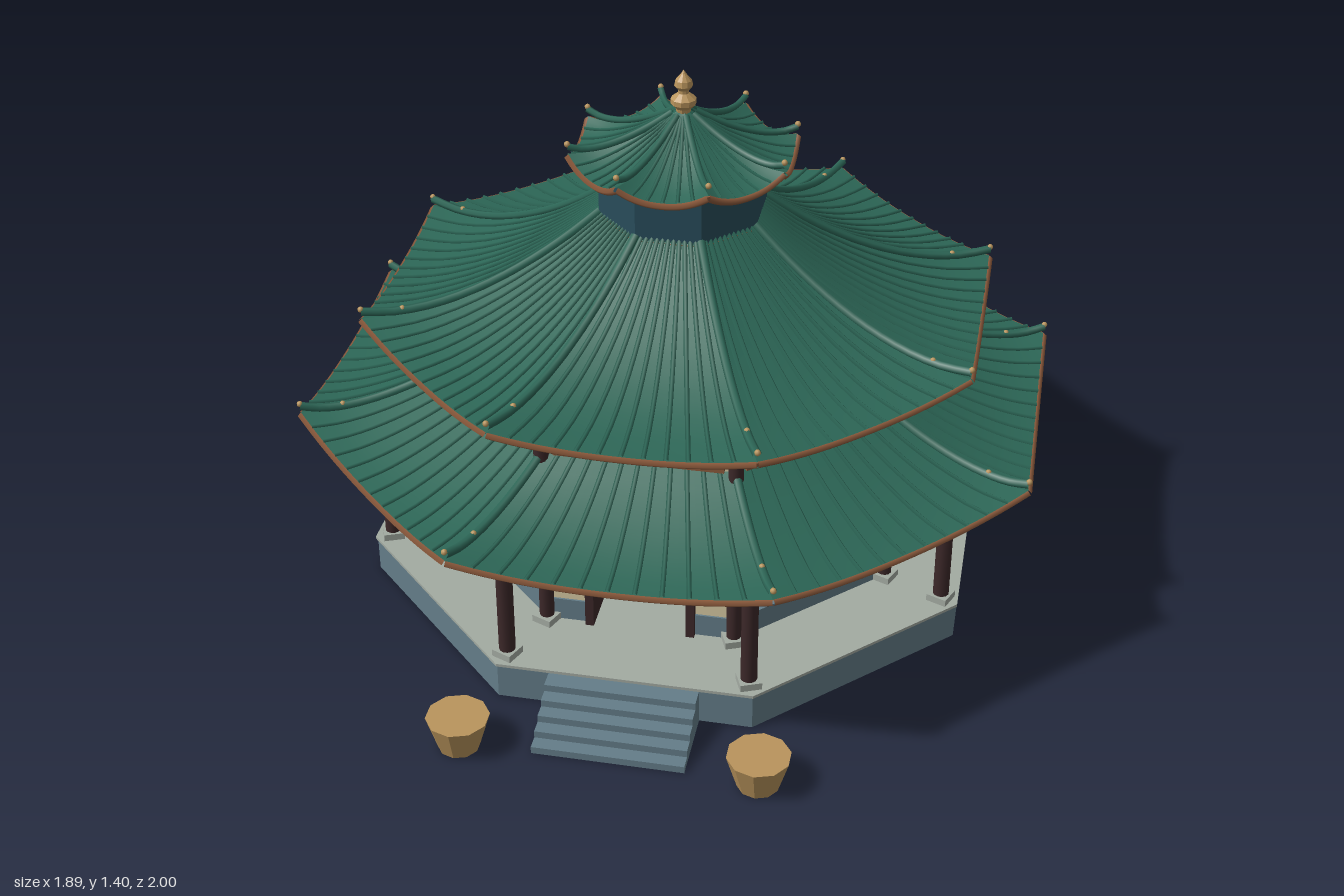
import * as THREE from 'three';

const mat = (name, color, extra = {}) => Object.assign(new THREE.MeshStandardMaterial({ color, ...extra }), { name });
const TAN = Math.tan(Math.PI / 8), COS = Math.cos(Math.PI / 8);

export function createModel() {
  const M = {
    tile: mat('green roof tile', 0x2c6656),
    stone: mat('blue grey stone', 0x647d89),
    paving: mat('pale paving', 0xa3aba2),
    plaster: mat('cream plaster', 0xd8caa4),
    wood: mat('dark wood', 0x3c2829),
    trim: mat('copper trim', 0x8c5a3c),
    glass: mat('slate teal', 0x284c5a),
    gold: mat('old gold', 0xb9945c),
  };
  const model = new THREE.Group();
  const hall = new THREE.Group();
  hall.name = 'pavilion';
  hall.position.z = -0.055;
  model.add(hall);

  const add = (parent, name, geo, m, x = 0, y = 0, z = 0) => {
    const mesh = new THREE.Mesh(geo, m);
    mesh.name = name;
    mesh.position.set(x, y, z);
    parent.add(mesh);
    return mesh;
  };
  const box = (parent, name, m, w, h, d, x, y, z) => add(parent, name, new THREE.BoxGeometry(w, h, d), m, x, y, z);
  const flat = (geo) => {
    const g = geo.toNonIndexed();
    g.computeVertexNormals();
    return g;
  };
  // octagonal prism given by its apothem, with flat sides to the front
  const octagon = (name, m, apothem, y0, y1) => {
    const r = apothem / COS;
    const g = new THREE.CylinderGeometry(r, r, y1 - y0, 8).rotateY(Math.PI / 8);
    return add(hall, name, flat(g), m, 0, (y0 + y1) / 2, 0);
  };
  // calls build(group, k) for the eight sides; local +z points outward, k = 0 is the front
  const eachSide = (name, build) => {
    for (let k = 0; k < 8; k++) {
      const g = new THREE.Group();
      g.name = name;
      g.rotation.y = k * Math.PI / 4;
      hall.add(g);
      build(g, k);
    }
  };

  // Platform
  octagon('platform', M.stone, 0.78, 0, 0.095);
  octagon('platformFloor', M.paving, 0.785, 0.095, 0.103);

  // Walls, columns and beams
  eachSide('wallSide', (g, k) => {
    const a = 0.57, w = 2 * a * TAN;
    if (k === 0) {
      for (const s of [-1, 1]) {
        const pw = w / 2 - 0.13, px = s * (0.13 + pw / 2);
        box(g, 'frontWall', M.plaster, pw, 0.35, 0.02, px, 0.275, a - 0.01);
        box(g, 'wallBase', M.stone, pw, 0.062, 0.03, px, 0.133, a - 0.01);
        box(g, 'doorJamb', M.wood, 0.022, 0.3, 0.04, s * 0.13, 0.25, a);
        box(g, 'doorLeaf', M.wood, 0.012, 0.29, 0.12, s * 0.125, 0.248, a - 0.075);
      }
      box(g, 'wallOverDoor', M.plaster, w, 0.325, 0.02, 0, 0.5725, a - 0.01);
      box(g, 'doorLintel', M.wood, 0.33, 0.05, 0.05, 0, 0.42, a + 0.01);
    } else {
      box(g, 'wall', M.plaster, w, 0.635, 0.02, 0, 0.4175, a - 0.01);
      box(g, 'wallBase', M.stone, w + 0.008, 0.062, 0.04, 0, 0.133, a - 0.01);
    }
    if (k % 2) lowerWindow(g, a);
    clerestory(g, a);
    box(g, 'upperBeam', M.wood, 0.5, 0.024, 0.03, 0, 0.722, 0.585);
    box(g, 'outerBeam', M.wood, 0.62, 0.022, 0.026, 0, 0.469, 0.74);
    box(g, 'outerBeamTrim', M.trim, 0.63, 0.012, 0.032, 0, 0.486, 0.74);
    // one inner and one outer column at each corner
    for (const [ap, r, top] of [[0.585, 0.019, 0.735], [0.74, 0.021, 0.49]]) {
      const x = ap * TAN;
      add(g, 'column', new THREE.CylinderGeometry(r, r, top - 0.1, 12), M.wood, x, (top + 0.1) / 2, ap);
      const base = box(g, 'columnBase', M.paving, 0.055, 0.02, 0.055, x, 0.112, ap);
      base.rotation.y = Math.PI / 8;
    }
    const bracket = box(g, 'bracket', M.trim, 0.055, 0.024, 0.055, 0.585 * TAN, 0.745, 0.585);
    bracket.rotation.y = Math.PI / 8;
  });

  // Framed window with a diamond lattice
  function lowerWindow(g, a) {
    box(g, 'windowPane', M.glass, 0.16, 0.18, 0.008, 0, 0.312, a + 0.004);
    for (const s of [-1, 1]) {
      box(g, 'windowFrame', M.trim, 0.018, 0.19, 0.02, s * 0.08, 0.312, a + 0.008);
      box(g, 'windowFrame', M.trim, 0.178, 0.016, 0.02, 0, 0.312 + s * 0.09, a + 0.008);
      box(g, 'windowBar', M.wood, 0.006, 0.17, 0.008, s * 0.047, 0.312, a + 0.01);
      for (const t of [-1, 1]) {
        const bar = box(g, 'lattice', M.gold, 0.006, 0.078, 0.006, s * 0.019, 0.312 + t * 0.034, a + 0.012);
        bar.rotation.z = s * t * 0.51;
      }
    }
    box(g, 'windowSill', M.trim, 0.205, 0.013, 0.032, 0, 0.215, a + 0.013);
  }

  // Band of barred windows under the upper roof
  function clerestory(g, a) {
    box(g, 'clerestoryPane', M.glass, 0.4, 0.072, 0.008, 0, 0.658, a + 0.004);
    for (const s of [-1, 1]) {
      box(g, 'clerestoryFrame', M.trim, 0.425, 0.011, 0.02, 0, 0.658 + s * 0.039, a + 0.008);
      box(g, 'clerestoryFrame', M.trim, 0.011, 0.08, 0.02, s * 0.207, 0.658, a + 0.008);
    }
    for (let i = -5; i <= 5; i++) box(g, 'clerestoryBar', M.wood, 0.009, 0.07, 0.012, i * 0.034, 0.658, a + 0.009);
  }

  // Roof tier: concave slope with raised corners, ribs, hips and eave trim
  function roof(name, o) {
    const at = (u, t, dy = 0) => {
      const a = o.a0 + (o.a1 - o.a0) * t;
      const y = o.y1 + (o.y0 - o.y1) * Math.pow(1 - t, o.power) + o.lift * t * t * Math.pow(Math.abs(u), 2.2);
      return new THREE.Vector3(u * a * TAN, y + dy, a);
    };
    const surface = (dy, flip) => {
      const nu = 14, nt = 8, pos = [], idx = [];
      for (let j = 0; j <= nt; j++)
        for (let i = 0; i <= nu; i++) pos.push(...at(i / nu * 2 - 1, j / nt, dy).toArray());
      for (let j = 0; j < nt; j++)
        for (let i = 0; i < nu; i++) {
          const p = j * (nu + 1) + i, q = p + nu + 1;
          idx.push(...(flip ? [p, p + 1, q, p + 1, q + 1, q] : [p, q, p + 1, p + 1, q, q + 1]));
        }
      const g = new THREE.BufferGeometry();
      g.setAttribute('position', new THREE.Float32BufferAttribute(pos, 3));
      g.setIndex(idx);
      g.computeVertexNormals();
      return g;
    };
    const tube = (f, n, r, sides) => {
      const pts = Array.from({ length: n + 1 }, (_, i) => f(i / n));
      return new THREE.TubeGeometry(new THREE.CatmullRomCurve3(pts), n * 2, r, sides);
    };
    const top = surface(0, false), under = surface(-0.012, true);
    const start = o.a0 < 0.05 ? 0.1 : 0;
    const slope = (t) => start + (1 - start) * t;
    const ribs = Array.from({ length: o.ribs }, (_, i) =>
      tube((t) => at((i + 1) / (o.ribs + 1) * 2 - 1, slope(t), 0.002), 6, o.rib, 4));
    const hip = tube((t) => at(1, slope(t), 0.006 + 0.014 * Math.pow(t, 6)), 8, o.hip, 6);
    const eave = tube((t) => at(t * 2 - 1, 1, -0.008), 12, 0.009, 4);
    const knob = new THREE.SphereGeometry(0.008, 8, 6);
    eachSide(name, (g) => {
      add(g, 'tileSlope', top, M.tile);
      add(g, 'soffit', under, o.soffit);
      ribs.forEach((r) => add(g, 'tileRib', r, M.tile));
      add(g, 'hipRidge', hip, M.tile);
      add(g, 'eaveTrim', eave, M.trim);
      for (const t of o.knobs) {
        const p = at(1, t, 0.012 + 0.014 * Math.pow(t, 6));
        add(g, 'hipKnob', knob, M.gold, p.x, p.y, p.z);
      }
    });
  }
  roof('lowerRoof', { a0: 0.575, y0: 0.612, a1: 0.938, y1: 0.488, power: 1.6, lift: 0.035, ribs: 11, rib: 0.006, hip: 0.011, knobs: [0.72, 1], soffit: M.tile });
  roof('upperRoof', { a0: 0.2, y0: 1.025, a1: 0.775, y1: 0.757, power: 1.85, lift: 0.028, ribs: 11, rib: 0.006, hip: 0.011, knobs: [0.83, 1], soffit: M.tile });
  roof('crownRoof', { a0: 0, y0: 1.3, a1: 0.274, y1: 1.165, power: 1.5, lift: 0.033, ribs: 5, rib: 0.005, hip: 0.009, knobs: [1], soffit: M.wood });

  // Drum between the upper roof and the crown
  octagon('drum', M.glass, 0.203, 0.98, 1.145);
  octagon('drumTopTrim', M.trim, 0.208, 1.143, 1.153);
  octagon('drumBaseTrim', M.trim, 0.208, 1.012, 1.02);

  // Finial
  const lathe = (pts, n) => flat(new THREE.LatheGeometry(pts.map(([x, y]) => new THREE.Vector2(x, y)), n));
  add(hall, 'finial', lathe([[0.018, 1.285], [0.02, 1.297], [0.033, 1.31], [0.033, 1.323], [0.014, 1.338],
    [0.014, 1.346], [0.024, 1.358], [0.021, 1.372], [0.007, 1.389], [0, 1.4]], 10), M.gold);

  // Ceremonial urn inside the hall
  const urn = new THREE.Group();
  urn.name = 'urn';
  hall.add(urn);
  add(urn, 'urnBowl', lathe([[0, 0.205], [0.06, 0.21], [0.095, 0.24], [0.102, 0.275], [0.09, 0.305], [0.105, 0.325],
    [0.09, 0.325], [0.075, 0.3], [0, 0.29]], 12), M.gold);
  add(urn, 'urnPedestal', lathe([[0, 0.103], [0.085, 0.103], [0.085, 0.125], [0.035, 0.14], [0.03, 0.19], [0.06, 0.212]], 12), M.gold);
  for (let i = 0; i < 8; i++) {
    const a = (i + 0.5) * Math.PI / 4, c = Math.cos(a), s = Math.sin(a);
    add(urn, 'rimBead', new THREE.SphereGeometry(0.014, 8, 6), M.tile, c * 0.095, 0.333, s * 0.095);
    add(urn, 'footBead', new THREE.SphereGeometry(0.015, 8, 6), M.tile, c * 0.08, 0.16, s * 0.08);
    add(urn, 'urnLeg', new THREE.CylinderGeometry(0.01, 0.008, 0.12, 6), M.gold, c * 0.07, 0.17, s * 0.07);
  }

  // Front steps
  for (let i = 0; i < 5; i++) {
    const depth = 0.195 - i * 0.036;
    box(model, 'step', M.stone, 0.38, 0.019, depth, 0, 0.0095 + i * 0.019, 0.725 + depth / 2);
  }

  // Pots beside the steps
  for (const s of [-1, 1])
    add(model, 'pot', flat(new THREE.CylinderGeometry(0.079, 0.052, 0.09, 10)), M.gold, s * 0.37, 0.045, 0.922);

  return model;
}
